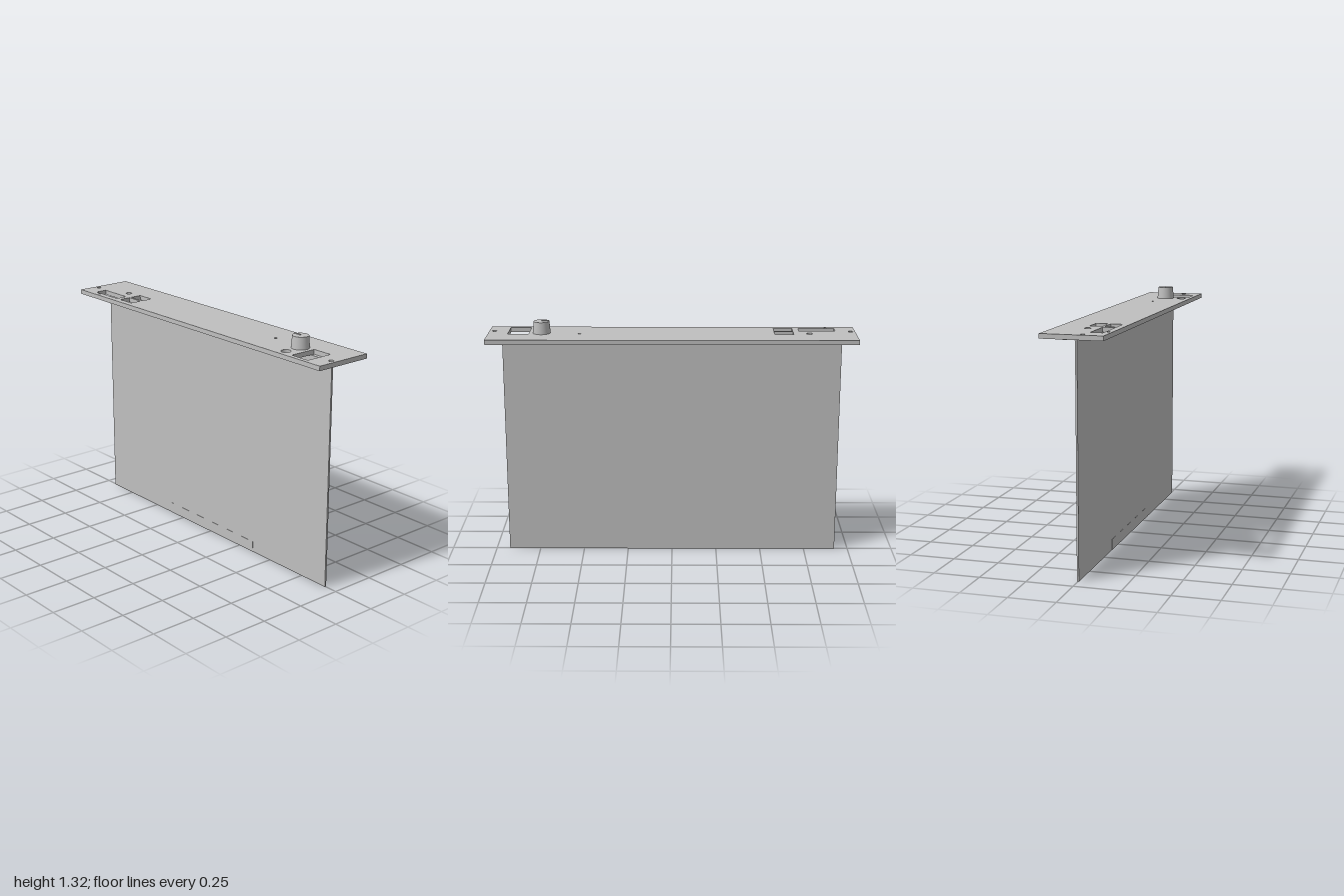
import * as THREE from 'three';

export function createModel() {
  const model = new THREE.Group();
  const grey = new THREE.MeshStandardMaterial({ color: 0xbfbfbf });
  grey.name = 'light grey';

  const add = (name, geometry, x = 0, y = 0, z = 0) => {
    const mesh = new THREE.Mesh(geometry, grey);
    mesh.name = name;
    mesh.position.set(x, y, z);
    model.add(mesh);
    return mesh;
  };
  // Box given by its limits on each axis
  const addBox = (name, [x0, x1], [y0, y1], [z0, z1]) =>
    add(name, new THREE.BoxGeometry(x1 - x0, y1 - y0, z1 - z0),
      (x0 + x1) / 2, (y0 + y1) / 2, (z0 + z1) / 2);

  // Rectangle path lying in the plate (shape y is -z)
  const rect = (path, x0, x1, z0, z1) => path
    .moveTo(x0, -z1).lineTo(x1, -z1).lineTo(x1, -z0).lineTo(x0, -z0).closePath();

  // Faceplate with connector cutouts and drilled holes
  const plate = rect(new THREE.Shape(), -0.163, 0.163, -1, 1);
  const cutouts = [
    [-0.127, -0.062, -0.892, -0.694],
    [-0.127, -0.062, -0.66, -0.557],
    [-0.048, 0.016, -0.66, -0.557],
    [-0.138, 0.016, 0.778, 0.892],
  ];
  for (const c of cutouts) plate.holes.push(rect(new THREE.Path(), ...c));
  const drills = [ // x, z, radius
    [-0.051, -0.975, 0.013],
    [-0.058, 0.972, 0.013],
    [-0.139, -0.844, 0.008],
    [-0.001, -0.747, 0.017],
    [0.01, 0.502, 0.008],
    [-0.111, 0.708, 0.026],
  ];
  for (const [x, z, r] of drills) {
    plate.holes.push(new THREE.Path().absarc(x, -z, r, 0, Math.PI * 2, true));
  }
  const plateGeometry = new THREE.ExtrudeGeometry(plate,
    { depth: 0.025, bevelEnabled: false, curveSegments: 16 });
  plateGeometry.rotateX(-Math.PI / 2);
  add('faceplate', plateGeometry, 0, 1.23, 0);

  // Circuit board, its mounting flange and the edge contacts
  addBox('board', [-0.005, 0.005], [0, 1.23], [-0.925, 0.925]);
  addBox('mountingFlange', [-0.006, 0.092], [1.218, 1.23], [-0.925, 0.925]);
  addBox('edgeContacts', [-0.006, 0.006], [0, 0.06], [-0.36, 0.36]);

  // Tapered knob with a raised pointer line
  add('knob', new THREE.CylinderGeometry(0.043, 0.048, 0.065, 48), -0.013, 1.2875, 0.709);
  addBox('knobPointer', [-0.016, -0.01], [1.318, 1.324], [0.668, 0.709]);

  return model;
}
